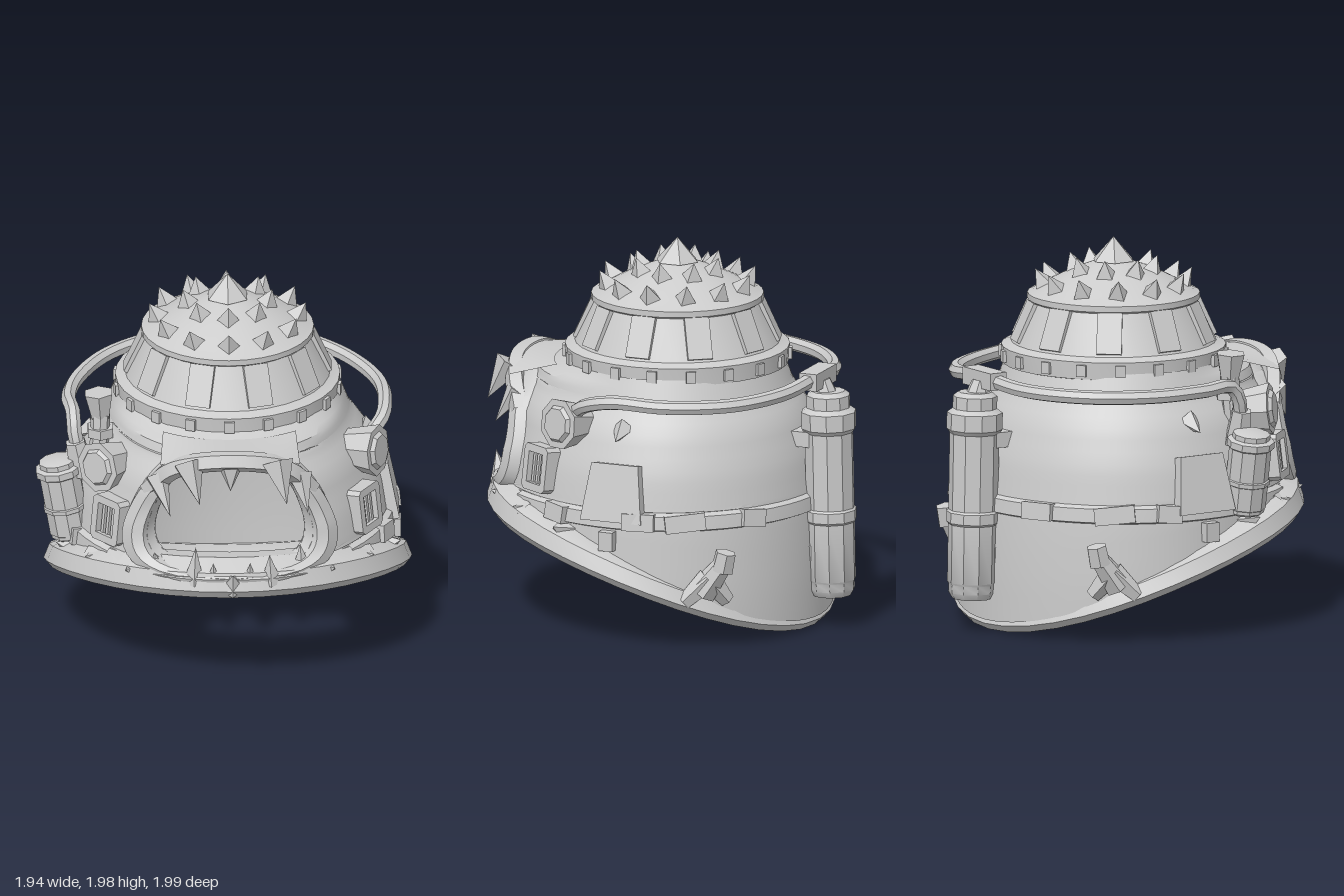
import * as THREE from 'three';
import { toCreasedNormals } from 'three/addons/utils/BufferGeometryUtils.js';

const V = (x, y, z) => new THREE.Vector3(x, y, z);
const mat = new THREE.MeshStandardMaterial({ color: 0xcccccc, side: THREE.DoubleSide });
const TAU = Math.PI * 2;
const { smoothstep, clamp } = THREE.MathUtils;

export function createModel() {
  const root = new THREE.Group();
  const helmet = new THREE.Group();
  helmet.name = 'helmet';
  helmet.position.x = 0.02;
  root.add(helmet);

  function add(name, geo, parent = helmet, crease = 0.6) {
    const m = new THREE.Mesh(toCreasedNormals(geo, crease), mat);
    m.name = name;
    parent.add(m);
    return m;
  }
  // Surface from a rule f(u, v), both 0..1
  function grid(nu, nv, f) {
    const pos = [], idx = [];
    for (let j = 0; j <= nv; j++)
      for (let i = 0; i <= nu; i++) pos.push(...f(i / nu, j / nv).toArray());
    for (let j = 0; j < nv; j++)
      for (let i = 0; i < nu; i++) {
        const a = j * (nu + 1) + i, b = a + nu + 1;
        idx.push(a, a + 1, b + 1, a, b + 1, b);
      }
    const g = new THREE.BufferGeometry();
    g.setAttribute('position', new THREE.Float32BufferAttribute(pos, 3));
    g.setIndex(idx);
    return g;
  }
  // Tapered bar between two points; r1 = 0 gives a spike
  function rod(name, from, to, r0, r1 = 0, sides = 4) {
    const d = to.clone().sub(from);
    const m = add(name, new THREE.CylinderGeometry(r1, r0, d.length(), sides));
    m.position.copy(from).addScaledVector(d, 0.5);
    m.quaternion.setFromUnitVectors(V(0, 1, 0), d.normalize());
  }
  function tube(name, pts, r, sides, n = 48) {
    const c = new THREE.CatmullRomCurve3(pts.map(p => V(...p)));
    add(name, new THREE.TubeGeometry(c, n, r, sides));
  }
  const lathe = (name, pts, sides, parent = helmet) =>
    add(name, new THREE.LatheGeometry(pts.map(p => new THREE.Vector2(...p)), sides), parent);

  // Helmet surface: radius by height, with a muzzle bulge to the front
  const prof = [[0, 0.8], [0.3, 0.8], [0.66, 0.78], [0.9, 0.74], [1.1, 0.67], [1.22, 0.59], [1.36, 0.54]];
  function radius(y) {
    let i = 0;
    while (i < prof.length - 2 && y > prof[i + 1][0]) i++;
    const [a, ra] = prof[i], [b, rb] = prof[i + 1];
    return ra + (rb - ra) * clamp((y - a) / (b - a), 0, 1);
  }
  function surf(a, y, off = 0) {
    const size = (0.13 + 0.04 * smoothstep(y, 0.9, 1.2)) * (1 - smoothstep(y, 1.29, 1.36));
    const r = radius(y) + size * Math.max(0, Math.cos(a)) ** 2.5 + off;
    return V(1.08 * r * Math.sin(a), y, r * Math.cos(a));
  }
  const brim = z => 0.35 + 0.35 * z - 0.12 * z * z;
  // Mouth outline, t from -PI/2 (bottom) to PI/2 (top)
  const mouthY = (t, g = 0) => 0.98 + (0.27 + g) * Math.sin(t);
  const mouthA = t => 0.47 * Math.abs(Math.cos(t)) ** 0.45 * (1 - 0.22 * Math.sin(t));

  function shell(off) {
    const rows = 24;
    return grid(72, rows, (u, v) => {
      const j = Math.round(v * rows);
      let open = 0, y;
      if (j >= 5 && j <= 19) {
        const t = ((j - 5) / 14 - 0.5) * Math.PI;
        y = mouthY(t);
        open = mouthA(t);
      } else if (j > 19) y = 1.25 + (j - 19) / 5 * 0.11;
      const a = open + u * (TAU - 2 * open);
      if (j < 5) {
        const low = brim(surf(a, 0.3).z) + 0.06;
        y = low + (0.71 - low) * j / 5;
      }
      return surf(a, y, off);
    });
  }
  add('helmetShell', shell(0));
  add('innerLining', shell(-0.08));

  // Slanted bottom rim, taller toward the front
  const sec = [[-0.08, 0.16], [0.02, 0.12], [0.05, 0.04], [0.02, 0], [-0.06, 0.01], [-0.08, 0.05], [-0.15, 0.03], [-0.2, 0.06], [-0.2, 0.14], [-0.08, 0.16]];
  add('bottomRim', grid(36, sec.length - 1, (u, v) => {
    const [s, dy] = sec[Math.round(v * (sec.length - 1))], a = u * TAU, c = Math.cos(a);
    return V((0.9 + s) * Math.sin(a), brim(0.09 + 0.88 * c) + dy * (1 + 0.15 * c), 0.09 + (0.84 + s) * c);
  }));

  // Mouth frame: [width scale, extra height, offset] swept round the opening
  const frame = [[1, 0, -0.09], [1, 0, 0.04], [1.12, 0.02, 0.065], [1.28, 0.05, 0.05], [1.36, 0.08, -0.01]];
  add('mouthFrame', grid(44, 4, (u, v) => {
    const [scale, grow, off] = frame[Math.round(v * 4)], t = u * TAU, c = Math.cos(t);
    return surf((c < 0 ? -1 : 1) * mouthA(t) * scale, mouthY(t, grow), off);
  }));
  const jawTop = [[-0.42, 1.08, 0.7], [-0.3, 1.23, 0.78], [-0.14, 1.29, 0.83], [0.14, 1.29, 0.83], [0.3, 1.23, 0.78], [0.42, 1.08, 0.7]];
  tube('upperJaw', jawTop, 0.055, 5);
  tube('lowerJaw', [[-0.72, 0.61, 0.52], [-0.45, 0.65, 0.76], [-0.2, 0.66, 0.88], [0.2, 0.66, 0.88], [0.45, 0.65, 0.76], [0.72, 0.61, 0.52]], 0.07, 5);
  // Brow plate joining the upper jaw to the crown
  add('browPlate', grid(12, 2, (u, v) => {
    const x = (u - 0.5) * 0.72;
    return V(x, 1.335 - 0.6 * x * x, 0.85 - 0.5 * x * x).lerp(surf(x * 1.5, 1.33, 0.02), v);
  }));

  // Teeth: [x, base y, base z, tip x, tip y, tip z, radius]
  [[-0.22, 1.29, 0.83, -0.16, 1.1, 0.94, 0.085], [0.24, 1.29, 0.83, 0.29, 1.1, 0.94, 0.085],
    [-0.38, 1.18, 0.74, -0.31, 1.0, 0.86, 0.065], [0.36, 1.18, 0.74, 0.4, 1.01, 0.85, 0.065],
    [0, 1.26, 0.84, 0, 1.15, 0.88, 0.06], [-0.19, 0.65, 0.9, -0.18, 0.85, 0.92, 0.06],
    [0.21, 0.65, 0.9, 0.2, 0.81, 0.93, 0.06], [0.37, 0.66, 0.8, 0.36, 0.82, 0.82, 0.06],
    [-0.38, 0.66, 0.8, -0.39, 0.78, 0.82, 0.055], [0.01, 0.63, 0.92, 0.01, 0.72, 0.99, 0.07],
    [-0.09, 0.66, 0.91, -0.09, 0.77, 0.94, 0.04], [0.1, 0.66, 0.91, 0.1, 0.77, 0.94, 0.04]
  ].forEach(([x, y, z, X, Y, Z, r]) => rod('tooth', V(x, y, z), V(X, Y, Z), r, 0, 5));

  // Crown: collar ring, cone, upper ring and dome
  lathe('crown', [[0.5, 1.31], [0.575, 1.33], [0.58, 1.42], [0.55, 1.43], [0.53, 1.44], [0.43, 1.65], [0.445, 1.66],
    [0.445, 1.69], [0.42, 1.7], [0.36, 1.735], [0.22, 1.805], [0.1, 1.85], [0, 1.87]], 32);
  rod('topSpike', V(0, 1.855, 0), V(0, 1.98, 0), 0.115, 0, 6);
  for (const [n, r, y, out] of [[8, 0.2, 1.805, 0.03], [12, 0.355, 1.73, 0.05]])
    for (let i = 0; i < n; i++) {
      const a = i / n * TAU, s = Math.sin(a), c = Math.cos(a);
      rod('domeSpike', V(r * s, y, r * c), V((r + out) * s, y + 0.085, (r + out) * c), 0.06);
    }
  // Box fixed to a surface, facing outward
  function plate(name, w, h, d, p, a, tilt = 0, roll = 0) {
    const m = add(name, new THREE.BoxGeometry(w, h, d));
    m.position.copy(p);
    m.rotation.set(tilt, a, roll, 'YXZ');
  }
  for (let i = 0; i < 10; i++) {
    const a = (i + 0.5) / 10 * TAU;
    plate('crownPanel', 0.13, 0.22, 0.04, V(0.472 * Math.sin(a), 1.55, 0.472 * Math.cos(a)), a, -0.43);
  }
  for (let i = 0; i < 18; i++) {
    const a = i / 18 * TAU;
    plate('collarStud', 0.05, 0.06, 0.03, V(0.578 * Math.sin(a), 1.375, 0.578 * Math.cos(a)), a);
  }

  // Waist band with rough clamps
  const bandSec = [[0, 0.62], [0.025, 0.63], [0.025, 0.7], [0, 0.715]];
  add('waistBand', grid(40, 3, (u, v) => {
    const [o, y] = bandSec[Math.round(v * 3)];
    return surf(0.75 + u * (TAU - 1.5), y, o);
  }));
  [1.15, 1.75, 2.05, 2.5, 3.6, 4.1, 4.45, 5.1].forEach((a, i) =>
    plate('bandClamp', 0.13 + 0.04 * (i % 3), 0.09, 0.06, surf(a, 0.67, 0.02), a, -0.1, 0.1 * (i % 3 - 1)));

  // Tapered hatch outline
  const outline = pts => pts.map(p => new THREE.Vector2(...p));
  const hatchShape = new THREE.Shape(outline([[-0.17, -0.15], [0.17, -0.15], [0.13, 0.15], [-0.13, 0.15]]));
  const ventShape = new THREE.Shape(outline([[-0.1, -0.1], [-0.08, -0.12], [0.08, -0.12], [0.1, -0.1], [0.1, 0.1], [0.08, 0.12], [-0.08, 0.12], [-0.1, 0.1]]));
  ventShape.holes.push(new THREE.Path(outline([[-0.06, -0.08], [-0.06, 0.08], [0.06, 0.08], [0.06, -0.08]])));

  // Side details: the right side sits a little further forward
  for (const [s, ventA, lampA, lampDir] of [[1, 0.94, 1.13, 1.13], [-1, 0.76, 0.92, 0.75]]) {
    const vent = new THREE.Group();
    vent.name = 'cheekVent';
    add('ventFrame', new THREE.ExtrudeGeometry(ventShape, { depth: 0.09, bevelEnabled: false }), vent);
    for (const x of [-0.035, 0, 0.035])
      add('ventSlat', new THREE.BoxGeometry(0.018, 0.17, 0.05), vent).position.set(x, 0, 0.045);
    vent.position.copy(surf(s * ventA, 0.86, -0.03));
    vent.rotation.set(-0.12, s * (ventA + 0.08), 0, 'YXZ');
    helmet.add(vent);

    // Round side lamps
    const near = surf(s * lampA, 1.11, -0.06), out = V(s * Math.sin(lampDir), 0.1, Math.cos(lampDir)).normalize();
    const far = near.clone().addScaledVector(out, 0.18);
    rod('sideLamp', near, far, 0.1, 0.135, 8);
    rod('lampLens', far, far.clone().addScaledVector(out, 0.02), 0.1, 0.085, 8);

    // Side hatch, box and fin
    const hatch = add('sideHatch', new THREE.ExtrudeGeometry(hatchShape, { depth: 0.06, bevelEnabled: false }));
    hatch.position.copy(surf(s * 1.57, 0.8, -0.02));
    hatch.rotation.set(-0.2, s * 1.57, 0, 'YXZ');
    plate('hatchBox', 0.08, 0.1, 0.07, surf(s * 1.54, 0.56, 0.01), s * 1.54);
    rod('sideFin', surf(s * 1.56, 1.12, -0.02), surf(s * 1.56, 1.07, 0.06), 0.06);

    // Rear lugs: leaning post, cap and feet
    const la = s * 2.2;
    rod('lugPost', surf(la - s * 0.04, 0.3), surf(la + s * 0.08, 0.46, 0.07), 0.075, 0.05, 6);
    rod('lugCap', surf(la + s * 0.07, 0.42, 0.06), surf(la + s * 0.09, 0.52, 0.08), 0.06, 0.055, 6);
    for (const d of [-0.16, 0.12])
      rod('lugFoot', surf(la, 0.37, 0.02), surf(la + s * d, 0.25, 0.01), 0.065, 0.04, 5);

    // Jagged studs above the rim
    for (const [a, y] of [[0.55, 0.64], [0.85, 0.62], [1.2, 0.57]])
      rod('rimStud', surf(s * a, y, -0.01), surf(s * a, y + 0.04, 0.09), 0.08);
  }

  // Air hose running round the back
  tube('airHose', [[0.7, 1.16, 0.29], [0.79, 1.24, 0.19], [0.81, 1.28, 0.02], [0.77, 1.27, -0.25], [0.6, 1.27, -0.55], [0.35, 1.29, -0.73],
    [0.05, 1.32, -0.79], [-0.3, 1.29, -0.75], [-0.6, 1.28, -0.55], [-0.77, 1.28, -0.25], [-0.82, 1.29, 0.02], [-0.8, 1.29, 0.2],
    [-0.79, 1.18, 0.26], [-0.75, 1.06, 0.26]], 0.038, 7, 64);

  // Tanks: profile scaled by radius and height
  function tank(name, r, h, pos, rx, rz) {
    const g = new THREE.Group();
    g.name = name;
    lathe(name + 'Body', [[0, 0], [0.75, 0], [0.9, 0.03], [0.9, 0.07], [0.95, 0.08], [0.95, 0.36], [1.02, 0.37], [1.02, 0.42], [0.95, 0.43],
      [0.95, 0.8], [1.07, 0.82], [1.07, 0.9], [0.85, 0.92], [0.85, 0.98], [0.65, 1], [0, 1]].map(([a, b]) => [a * r, b * h]), 10, g);
    g.position.set(...pos);
    g.rotation.set(rx, 0, rz);
    helmet.add(g);
  }
  tank('backTank', 0.135, 1.08, [0.01, 0.17, -0.87], 0.02, 0);
  tank('sideTank', 0.115, 0.44, [-0.81, 0.63, 0.27], 0, 0.17);
  for (const [y, z] of [[1.0, -0.75], [0.4, -0.8]])
    plate('tankBracket', 0.2, 0.08, 0.14, V(0.01, y, z), 0);
  plate('hoseCoupling', 0.26, 0.09, 0.1, V(0.01, 1.315, -0.79), 0);
  rod('couplingNeck', V(0.01, 1.2, -0.84), V(0.01, 1.3, -0.81), 0.07, 0.05, 8);

  // Exhaust pipe with flared cup, and valve beside it
  rod('exhaustPipe', V(-0.67, 1.05, 0.3), V(-0.66, 1.32, 0.28), 0.05, 0.05, 8);
  rod('exhaustBase', V(-0.66, 1.2, 0.28), V(-0.66, 1.25, 0.28), 0.075, 0.075, 6);
  rod('exhaustCup', V(-0.66, 1.3, 0.28), V(-0.67, 1.44, 0.28), 0.05, 0.08, 6);
  rod('valveBody', V(-0.75, 0.98, 0.27), V(-0.79, 1.16, 0.27), 0.075, 0.055, 6);
  return root;
}
